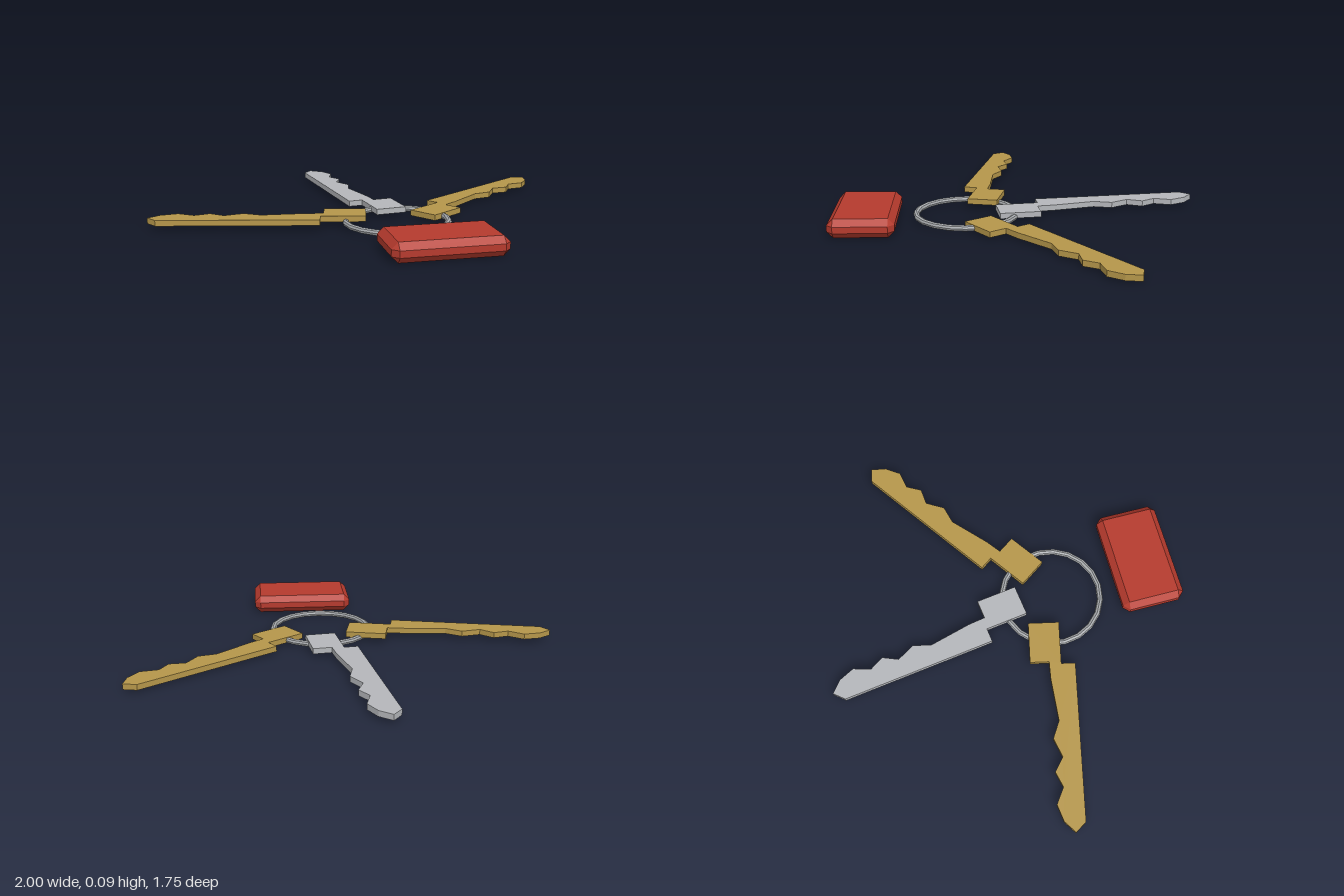
import * as THREE from 'three';
import { ConvexGeometry } from 'three/addons/geometries/ConvexGeometry.js';

const mat = (name, color) => {
  const m = new THREE.MeshStandardMaterial({ color, flatShading: true });
  m.name = name;
  return m;
};

// Key outline as [across, along]; the blade points along -z once laid flat
const KEY_OUTLINE = [
  [0, 0], [0.064, 0], [0.064, -0.199], [0.206, -0.199], [0.206, -0.01],
  [0.119, -0.01], [0.116, 0.07], [0.09, 0.265], [0.12, 0.345], [0.083, 0.428],
  [0.12, 0.494], [0.088, 0.56], [0.121, 0.635], [0.094, 0.708], [0.045, 0.757], [0, 0.714],
];
const KEY_THICKNESS = 0.026;

function keyGeometry() {
  const shape = new THREE.Shape(KEY_OUTLINE.map(([x, y]) => new THREE.Vector2(x, y)));
  const geo = new THREE.ExtrudeGeometry(shape, { depth: KEY_THICKNESS, bevelEnabled: false });
  return geo.rotateX(-Math.PI / 2);
}

// Box with every edge and corner cut off at 45 degrees
function chamferedBox(hx, hy, hz, c) {
  const points = [];
  for (const sx of [-1, 1]) for (const sy of [-1, 1]) for (const sz of [-1, 1]) {
    points.push(
      new THREE.Vector3(sx * hx, sy * (hy - c), sz * (hz - c)),
      new THREE.Vector3(sx * (hx - c), sy * hy, sz * (hz - c)),
      new THREE.Vector3(sx * (hx - c), sy * (hy - c), sz * hz),
    );
  }
  return new ConvexGeometry(points);
}

export function createModel() {
  const group = new THREE.Group();
  group.name = 'keyRing';
  const gold = mat('brass', 0xb5964a);
  const silver = mat('silver', 0xb4b6ba);
  const steel = mat('ringSteel', 0xa8abae);
  const red = mat('redPlastic', 0xb53a2d);

  const add = (name, geo, material, position, turn = 0) => {
    const mesh = new THREE.Mesh(geo, material);
    mesh.name = name;
    mesh.position.set(...position);
    mesh.rotation.y = turn;
    group.add(mesh);
  };

  // Split ring lying flat
  const ring = new THREE.TorusGeometry(0.23, 0.014, 8, 20).rotateX(-Math.PI / 2);
  add('ring', ring, steel, [-0.035, 0.019, 0.211]);

  // Three identical keys fanned around the ring
  const key = keyGeometry();
  add('rightKey', key, gold, [-0.372, 0.02, 0.12], 1.043);
  add('middleKey', key, silver, [-0.078, 0.014, -0.142], -0.173);
  add('leftKey', key, gold, [0.259, 0.008, 0.013], -1.268);

  // Chamfered fob in front of the ring
  add('fob', chamferedBox(0.243, 0.0425, 0.146, 0.028), red, [-0.104, 0.0425, 0.663], -0.308);

  return group;
}
